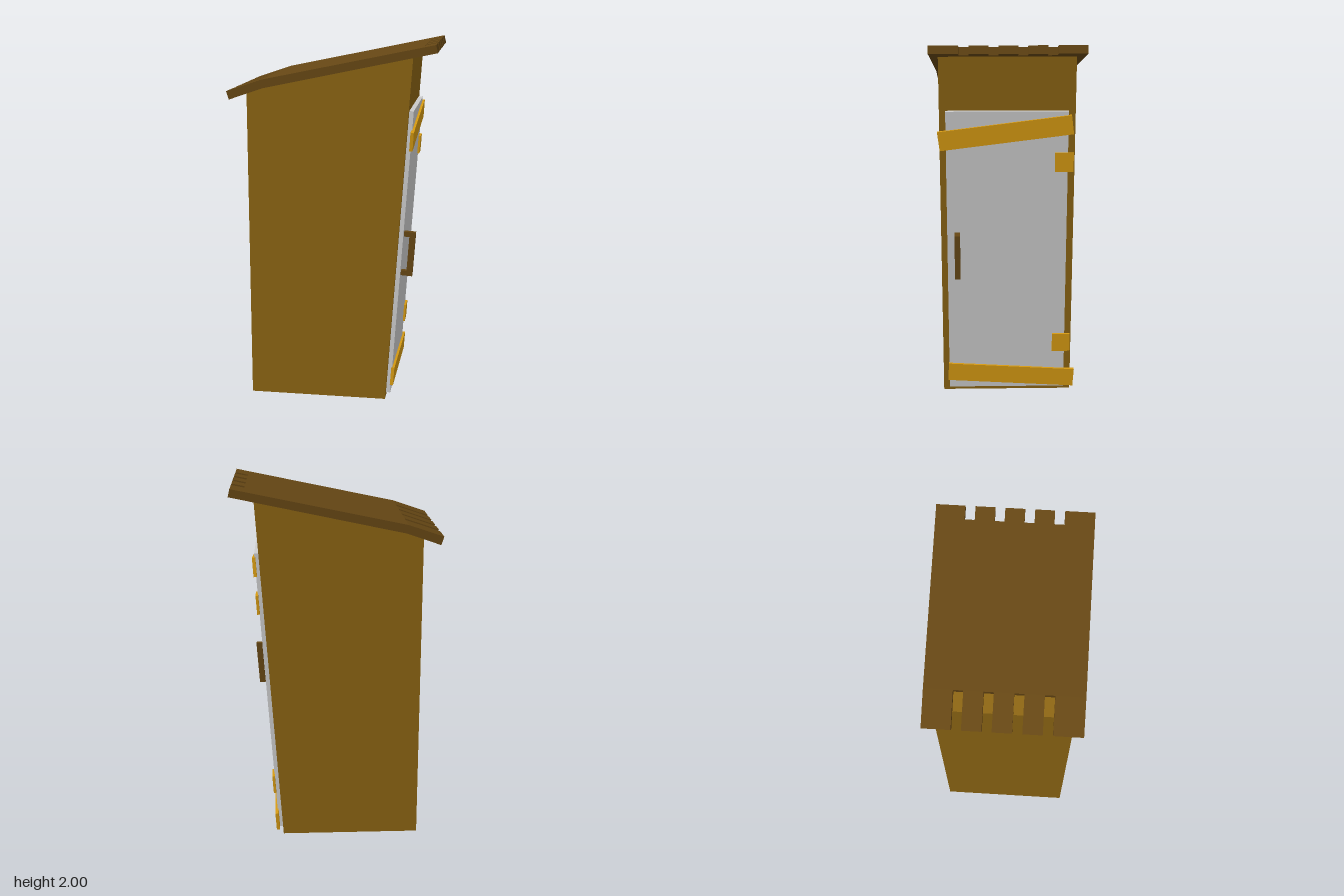
import * as THREE from 'three';

const mat = (color) => new THREE.MeshStandardMaterial({ color, flatShading: true });

// Prism with an x-y outline running from z0 to z1
function prism(name, points, z0, z1, material) {
  const shape = new THREE.Shape(points.map(([x, y]) => new THREE.Vector2(x, y)));
  const geo = new THREE.ExtrudeGeometry(shape, { depth: z1 - z0, bevelEnabled: false });
  geo.translate(0, 0, z0);
  const mesh = new THREE.Mesh(geo, material);
  mesh.name = name;
  return mesh;
}

function box(name, size, position, material, tilt = 0) {
  const mesh = new THREE.Mesh(new THREE.BoxGeometry(...size), material);
  mesh.name = name;
  mesh.position.set(...position);
  mesh.rotation.x = tilt;
  return mesh;
}

export function createModel() {
  const model = new THREE.Group();
  model.name = 'woodenShed';
  const wallWood = mat(0x8b6413);
  const darkWood = mat(0x664714);
  const plankWood = mat(0xd69a12);
  const grey = mat(0xcccccc);

  // Cabin with a leaning door wall and a sloping top
  model.add(prism('cabin', [
    [-0.465, 0], [0.305, 0], [0.435, 1.931], [-0.372, 1.76], [-0.465, 1.729],
  ], -0.363, 0.363, wallWood));

  // Roof: full-width middle slab, with board ends separated by slots
  const roof = new THREE.Group();
  roof.name = 'roof';
  const creaseLow = [-0.37, 1.76], creaseHigh = [-0.377, 1.806];
  const slotLow = [0.495, 1.943], slotHigh = [0.485, 1.985];
  roof.add(prism('roofSlab', [creaseLow, slotLow, slotHigh, creaseHigh], -0.408, 0.408, darkWood));
  const boards = [[-0.408, -0.258], [-0.206, -0.104], [-0.053, 0.049], [0.1, 0.202], [0.254, 0.408]];
  for (const [z0, z1] of boards) {
    roof.add(prism('backBoardEnd', [[-0.552, 1.697], creaseLow, creaseHigh, [-0.567, 1.742]], z0, z1, darkWood));
    roof.add(prism('frontBoardEnd', [slotLow, [0.566, 1.958], [0.556, 2], slotHigh], z0, z1, darkWood));
  }
  model.add(roof);

  // Door assembly, leaning with the wall: local x points out of the wall
  const door = new THREE.Group();
  door.name = 'doorAssembly';
  door.position.x = 0.305;
  door.rotation.z = -Math.atan2(0.13, 1.931);
  door.add(box('doorPanel', [0.034, 1.62, 0.654], [0.007, 0.838, 0.002], grey));
  door.add(box('upperPlank', [0.018, 0.104, 0.72], [0.028, 1.533, 0.01], plankWood, 0.125));
  door.add(box('lowerPlank', [0.018, 0.104, 0.716], [0.028, 0.108, -0.023], plankWood, -0.06));
  for (const y of [0.308, 1.37]) {
    door.add(box('hinge', [0.014, 0.105, 0.1], [0.029, y, -0.305], plankWood));
  }

  // Handle: grip on two short arms
  const handle = new THREE.Group();
  handle.name = 'handle';
  handle.add(box('grip', [0.034, 0.252, 0.03], [0.072, 0.846, 0.273], darkWood));
  for (const y of [0.734, 0.958]) {
    handle.add(box('handleArm', [0.05, 0.028, 0.03], [0.035, y, 0.273], darkWood));
  }
  door.add(handle);
  model.add(door);
  return model;
}
